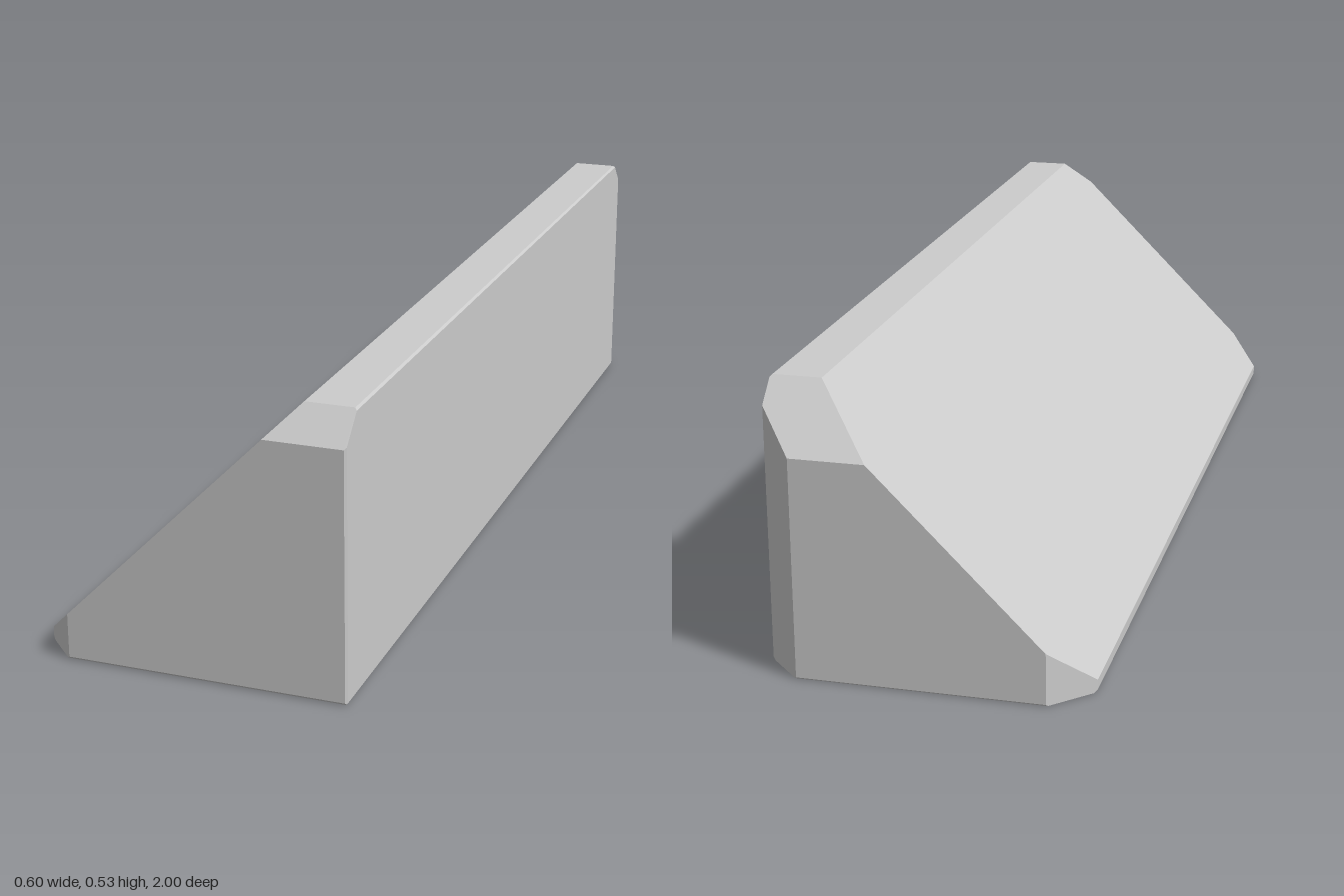
import * as THREE from 'three';
import { ConvexGeometry } from 'three/addons/geometries/ConvexGeometry.js';

// Each row is a cutting plane: a*x + b*y + c*z <= d
const PLANES = [
  [1, 0, 0, 0.298],      // tall side wall
  [-1, 0, 0, 0.3],       // narrow toe
  [0, 1, 0, 0.527],      // top ledge
  [0, -1, 0, 0],         // base
  [0, 0, 1, 1],          // front end
  [0, 0, -1, 1],         // back end
  [-1, 1, 0, 0.324],     // long slope
  [0, 1, 1, 1.471],      // front top chamfer
  [0, 1, -1, 1.415],     // back top chamfer
  [-1, 0, 1, 1.235],     // front toe chamfer
  [-1, 0, -1, 1.225],    // back toe chamfer
  [1, 0, -1, 1.23],      // back wall chamfer
  [1, 0, 1, 1.294],      // fine bevels on the remaining edges
  [1, 1, 0, 0.821],
  [1, -1, 0, 0.293],
  [-1, -1, 0, 0.295],
  [0, -1, 1, 0.995],
  [0, -1, -1, 0.997],
];

// Corners of the solid: every meeting point of three planes that lies inside all others
function solidCorners(planes) {
  const corners = [];
  const m = new THREE.Matrix3();
  for (let i = 0; i < planes.length; i++)
    for (let j = i + 1; j < planes.length; j++)
      for (let k = j + 1; k < planes.length; k++) {
        const [p, q, r] = [planes[i], planes[j], planes[k]];
        m.set(p[0], p[1], p[2], q[0], q[1], q[2], r[0], r[1], r[2]);
        if (Math.abs(m.determinant()) < 1e-6) continue;
        const v = new THREE.Vector3(p[3], q[3], r[3]).applyMatrix3(m.invert());
        const inside = planes.every(([a, b, c, d]) => a * v.x + b * v.y + c * v.z <= d + 1e-6);
        if (inside && !corners.some((u) => u.distanceTo(v) < 1e-5)) corners.push(v);
      }
  return corners;
}

export function createModel() {
  const group = new THREE.Group();
  group.name = 'chamferedWedge';
  const material = new THREE.MeshStandardMaterial({ color: 0xcccccc, flatShading: true });
  const wedge = new THREE.Mesh(new ConvexGeometry(solidCorners(PLANES)), material);
  wedge.name = 'wedgeBlock';
  group.add(wedge);
  return group;
}
